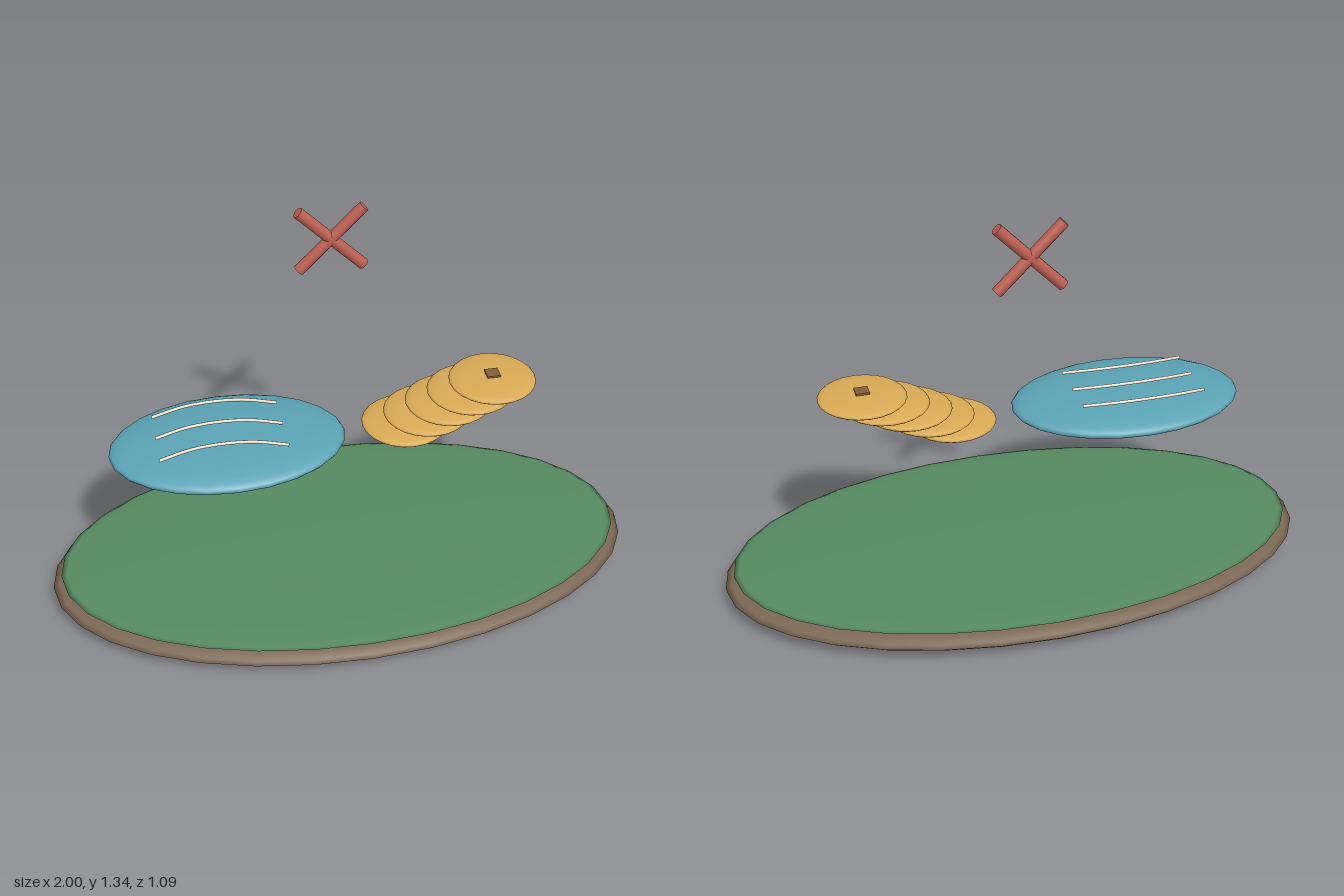
import * as THREE from 'three';

export function createModel() {
  const model = new THREE.Group();
  const paint = (color) => new THREE.MeshStandardMaterial({ color });
  const soil = paint(0x7a6652), grass = paint(0x558a60), water = paint(0x5aa3b5);
  const gold = paint(0xd9aa55), cream = paint(0xeadfc8), red = paint(0xbf5f52), dark = paint(0x80603a);

  const add = (name, geometry, material, x, y, z, parent = model) => {
    const mesh = new THREE.Mesh(geometry, material);
    mesh.name = name;
    mesh.position.set(x, y, z);
    parent.add(mesh);
    return mesh;
  };
  // Flattened sphere with radii rx, ry, rz
  const lens = (name, material, x, y, rx, ry, rz, sides, rings, parent) => {
    const geometry = new THREE.SphereGeometry(1, sides, rings).scale(rx, ry, rz);
    return add(name, geometry, material, x, y, 0, parent);
  };

  // Island: earth below, grass on top
  lens('earthBase', soil, 0, 0.059, 1, 0.056, 0.546, 32, 16);
  lens('grassTop', grass, 0, 0.105, 0.97, 0.018, 0.524, 32, 16);

  // Floating pond with three curved ripples
  const pond = new THREE.Group();
  pond.name = 'pond';
  model.add(pond);
  lens('pondWater', water, -0.38, 0.588, 0.39, 0.045, 0.256, 24, 16, pond);
  for (const z of [-0.115, 0, 0.118]) {
    const path = new THREE.CatmullRomCurve3([
      new THREE.Vector3(-0.615, 0.642, z),
      new THREE.Vector3(-0.51, 0.652, z - 0.024),
      new THREE.Vector3(-0.405, 0.655, z - 0.031),
      new THREE.Vector3(-0.30, 0.652, z - 0.024),
      new THREE.Vector3(-0.195, 0.642, z),
    ]);
    add('ripple', new THREE.TubeGeometry(path, 18, 0.006, 6), cream, 0, 0, 0, pond);
  }

  // Leaning stack of coins with a square mark on the top one
  const coins = new THREE.Group();
  coins.name = 'coinStack';
  model.add(coins);
  for (let i = 0; i < 5; i++) {
    lens('coin', gold, 0.216 + i * 0.0735, 0.591 + i * 0.0325, 0.145, 0.019, 0.145, 24, 12, coins);
  }
  add('coinMark', new THREE.BoxGeometry(0.045, 0.012, 0.045), dark, 0.51, 0.74, 0, coins);

  // Crossed rods
  const cross = new THREE.Group();
  cross.name = 'cross';
  cross.position.set(0, 1.222, -0.165);
  model.add(cross);
  for (const side of [-1, 1]) {
    const rod = add('crossRod', new THREE.CylinderGeometry(0.019, 0.019, 0.3, 10), red, 0, 0, 0, cross);
    rod.rotation.z = side * Math.PI / 4;
  }

  return model;
}
